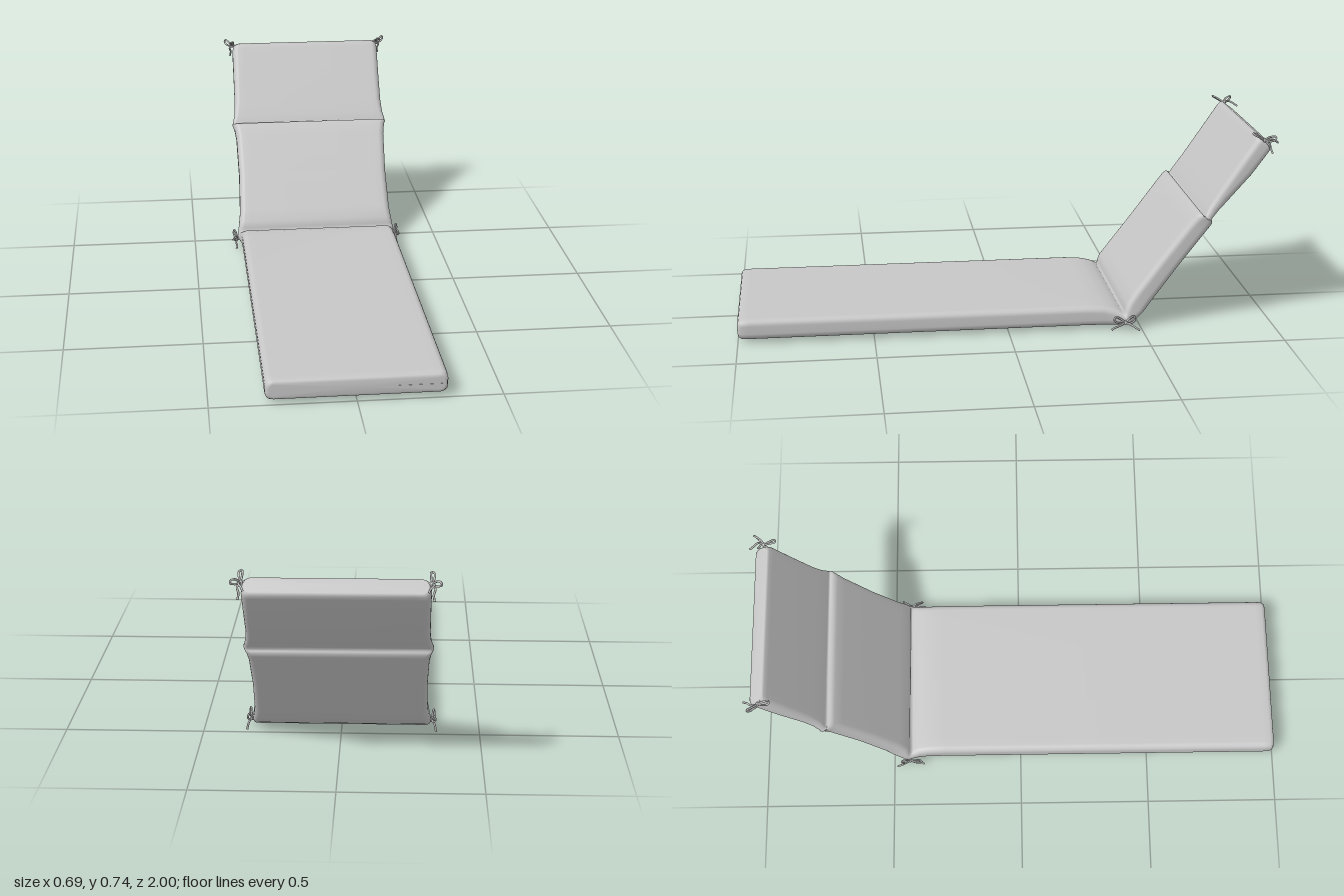
import * as THREE from 'three';

// Stations along the cushion: [upper z, upper y, lower z, lower y, half width]
const STATIONS = [
  // seat, front end first
  [1.0, 0.077, 1.0, 0.03, 0.297],
  [0.996, 0.086, 0.996, 0.021, 0.305],
  [0.985, 0.091, 0.985, 0.016, 0.31],
  [0.96, 0.092, 0.96, 0.015, 0.311],
  [0.3, 0.092, 0.3, 0.015, 0.311],
  [-0.3, 0.092, -0.3, 0.015, 0.311],
  [-0.36, 0.088, -0.36, 0.014, 0.311],
  [-0.4, 0.079, -0.395, 0.013, 0.313],
  [-0.425, 0.067, -0.425, 0.013, 0.319],
  // fold between seat and back
  [-0.437, 0.056, -0.45, 0.017, 0.325],
  [-0.438, 0.075, -0.478, 0.032, 0.322],
  [-0.446, 0.1, -0.508, 0.06, 0.317],
  // lower back panel
  [-0.475, 0.141, -0.535, 0.095, 0.311],
  [-0.57, 0.267, -0.63, 0.222, 0.307],
  [-0.67, 0.4, -0.73, 0.355, 0.311],
  [-0.697, 0.432, -0.752, 0.387, 0.317],
  [-0.711, 0.442, -0.759, 0.4, 0.322],
  [-0.722, 0.438, -0.758, 0.411, 0.325],
  // pinched seam
  [-0.728, 0.428, -0.752, 0.416, 0.325],
  [-0.733, 0.44, -0.76, 0.427, 0.322],
  // head panel
  [-0.748, 0.467, -0.782, 0.449, 0.315],
  [-0.78, 0.515, -0.82, 0.487, 0.311],
  [-0.85, 0.62, -0.905, 0.582, 0.31],
  [-0.91, 0.709, -0.967, 0.667, 0.31],
  [-0.921, 0.724, -0.977, 0.682, 0.306],
  [-0.929, 0.729, -0.975, 0.694, 0.299],
];

// Rounded rectangle spanned by the x axis and the line from lower to upper point
function section([tz, ty, bz, by, hw]) {
  const thick = Math.hypot(tz - bz, ty - by);
  const r = Math.min(0.024, thick * 0.46);
  const points = [];
  const put = (x, h) => {
    const t = h / thick + 0.5;
    points.push([x, by + (ty - by) * t, bz + (tz - bz) * t]);
  };
  const corners = [[1, 1], [-1, 1], [-1, -1], [1, -1]];
  corners.forEach(([sx, sy], c) => {
    for (let k = 0; k <= 5; k++) {
      const a = (c + k / 5) * Math.PI / 2;
      put(sx * (hw - r) + r * Math.cos(a), sy * (thick / 2 - r) + r * Math.sin(a));
    }
    // extra points across the wide faces
    if (c % 2 === 0) for (const f of [0.92, 0.4, -0.4, -0.92]) put(sx * f * (hw - r), sy * thick / 2);
  });
  return points;
}

function cushionGeometry() {
  const rings = STATIONS.map(section);
  const n = rings[0].length, last = (rings.length - 1) * n;
  const points = rings.flat(), index = [];
  for (let i = 0; i < rings.length - 1; i++) {
    for (let j = 0; j < n; j++) {
      const a = i * n + j, b = i * n + (j + 1) % n;
      index.push(a, a + n, b, b, a + n, b + n);
    }
  }
  // end caps
  const middle = ([tz, ty, bz, by]) => [0, (ty + by) / 2, (tz + bz) / 2];
  const front = points.push(middle(STATIONS[0])) - 1;
  const back = points.push(middle(STATIONS[STATIONS.length - 1])) - 1;
  for (let j = 0; j < n; j++) {
    const k = (j + 1) % n;
    index.push(front, j, k, back, last + k, last + j);
  }
  const g = new THREE.BufferGeometry();
  g.setAttribute('position', new THREE.Float32BufferAttribute(points.flat(), 3));
  g.setIndex(index);
  g.computeVertexNormals();
  return g;
}

// Bow of thin cord: strands are offsets from the knot, mirrored by side
function makeBow(name, side, knot, strands, material) {
  const bow = new THREE.Group();
  bow.name = name;
  for (const strand of strands) {
    const path = new THREE.CatmullRomCurve3(strand.map(([x, y, z]) => new THREE.Vector3(x * side, y, z)));
    const cord = new THREE.Mesh(new THREE.TubeGeometry(path, 18, 0.0038, 6), material);
    cord.name = 'tieCord';
    bow.add(cord);
  }
  const ball = new THREE.Mesh(new THREE.SphereGeometry(0.008, 10, 8), material);
  ball.name = 'tieKnot';
  bow.add(ball);
  bow.position.set(knot[0] * side, knot[1], knot[2]);
  return bow;
}

const HEAD_TIE = [
  [[0, 0, 0], [-0.004, 0.018, 0.025], [-0.002, 0.028, 0.045], [0.008, 0.024, 0.042], [0.006, 0.01, 0.018], [0, 0, 0]],
  [[0, 0, 0], [0.014, 0.014, -0.012], [0.028, 0.018, -0.035], [0.03, 0.008, -0.032], [0.014, -0.002, -0.012], [0, 0, 0]],
  [[0, 0, 0], [0.01, -0.012, -0.01], [0.005, -0.03, -0.022], [0.008, -0.05, -0.03]],
  [[0, 0, 0], [0.006, 0.004, -0.02], [-0.006, -0.004, -0.04], [-0.012, -0.014, -0.054]],
  [[0, 0, 0], [-0.012, 0.002, 0.006], [-0.02, -0.004, 0.002]],
];
const FOLD_TIE = [
  [[0, 0, 0], [0.005, 0.018, 0.02], [0.008, 0.026, 0.04], [0.012, 0.014, 0.045], [0.008, 0.002, 0.02], [0, 0, 0]],
  [[0, 0, 0], [0.004, 0.018, -0.014], [0.01, 0.028, -0.03], [0.014, 0.014, -0.032], [0.008, 0, -0.014], [0, 0, 0]],
  [[0, 0, 0], [0.006, -0.008, 0.02], [0.003, -0.018, 0.042], [0.008, -0.024, 0.055]],
  [[0, 0, 0], [0.01, -0.006, -0.02], [0.014, -0.016, -0.036], [0.016, -0.026, -0.052]],
  [[0, 0, 0], [-0.006, 0.006, 0], [-0.012, 0.004, 0]],
];

export function createModel() {
  const fabric = new THREE.MeshStandardMaterial({ color: 0xc6c6c6 });
  fabric.name = 'greyFabric';
  const model = new THREE.Group();
  model.name = 'loungerCushion';

  const cushion = new THREE.Mesh(cushionGeometry(), fabric);
  cushion.name = 'cushion';
  model.add(cushion);

  // closure seam on the front edge
  const seam = new THREE.Mesh(new THREE.BoxGeometry(0.15, 0.003, 0.004), fabric);
  seam.name = 'frontSeam';
  seam.position.set(0.215, 0.052, 0.999);
  model.add(seam);

  // ties at the head corners and at the fold
  for (const side of [1, -1]) {
    const label = side > 0 ? 'left' : 'right';
    model.add(makeBow(label + 'HeadTie', side, [0.311, 0.716, -0.943], HEAD_TIE, fabric));
    model.add(makeBow(label + 'FoldTie', side, [0.327, 0.031, -0.437], FOLD_TIE, fabric));
  }
  return model;
}
